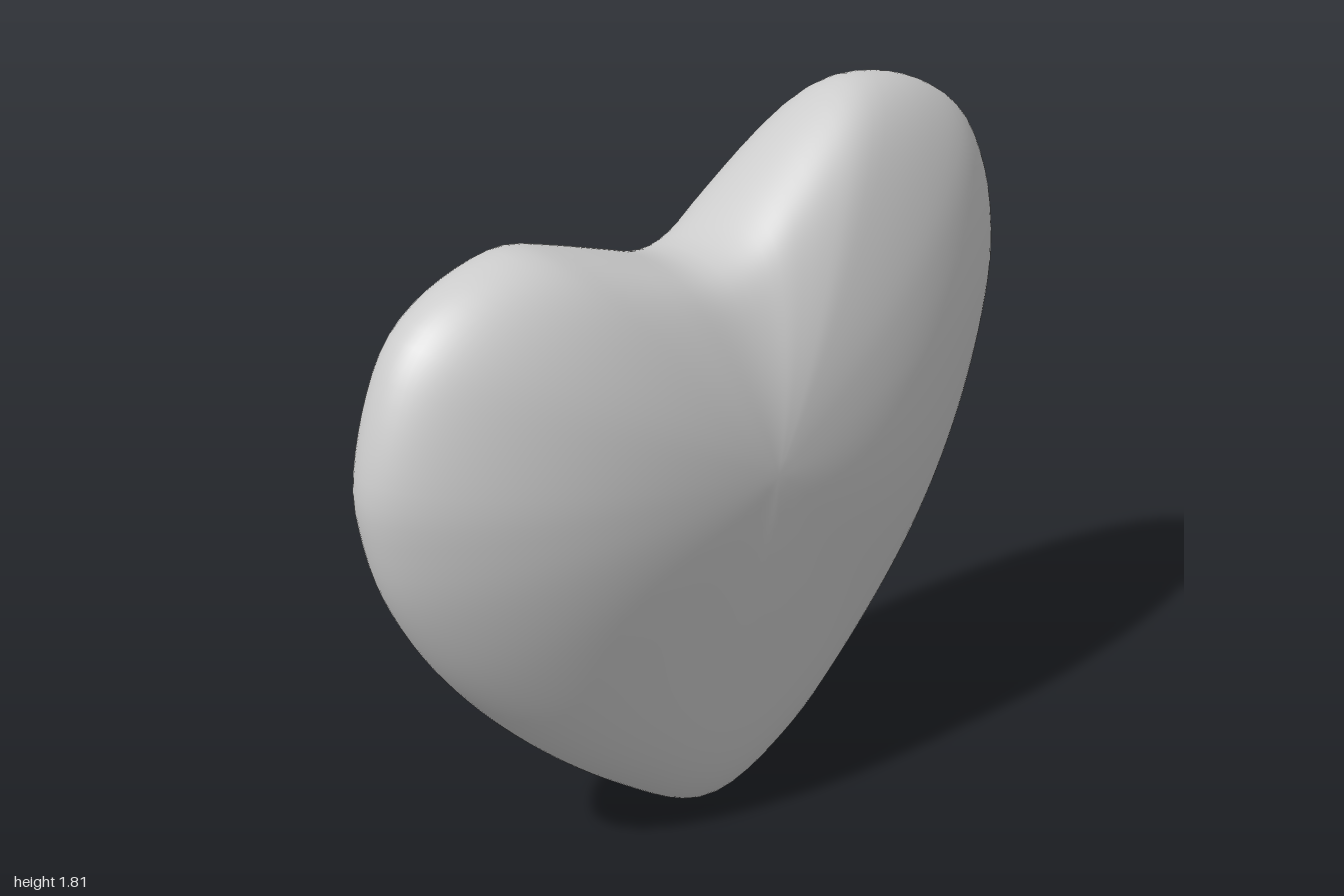
import * as THREE from 'three';
import { mergeVertices } from 'three/addons/utils/BufferGeometryUtils.js';

// Heart outline (x, y), counter-clockwise from the bottom tip
const OUTLINE = [
  [-0.03, 0.003], [0.07, 0.025], [0.25, 0.12], [0.4, 0.245], [0.6, 0.45], [0.75, 0.65],
  [0.87, 0.87], [0.95, 1.08], [0.99, 1.24], [1, 1.34], [0.98, 1.5], [0.92, 1.64],
  [0.86, 1.705], [0.76, 1.765], [0.65, 1.802], [0.53, 1.815], [0.46, 1.8], [0.35, 1.74],
  [0.2, 1.63], [0.06, 1.52], [-0.03, 1.485], [-0.11, 1.485], [-0.25, 1.525], [-0.4, 1.57],
  [-0.53, 1.6], [-0.63, 1.588], [-0.78, 1.53], [-0.88, 1.45], [-0.95, 1.32], [-1, 1.12],
  [-0.99, 1.0], [-0.95, 0.85], [-0.85, 0.66], [-0.7, 0.47], [-0.5, 0.28], [-0.3, 0.13], [-0.12, 0.022],
];
const CENTER = { x: -0.02, y: 1.0 };
const HALF_DEPTH = 0.327;

// The rim lies in a slightly tilted plane
const midPlane = (x, y) => 0.02 - 0.035 * x - 0.032 * y;

function heartGeometry() {
  const curve = new THREE.CatmullRomCurve3(
    OUTLINE.map(([x, y]) => new THREE.Vector3(x, y, 0)), true, 'centripetal');
  const geo = new THREE.SphereGeometry(1, 128, 64);
  const pos = geo.attributes.position, uv = geo.attributes.uv;

  // Each sphere meridian runs from the front centre over one outline point to the back centre
  for (let i = 0; i < pos.count; i++) {
    const p = curve.getPointAt(THREE.MathUtils.euclideanModulo(uv.getX(i), 1));
    const polar = Math.PI * (1 - uv.getY(i));
    const r = Math.sin(polar);
    const dx = p.x - CENTER.x, dy = p.y - CENTER.y;

    // Fuller toward the sides, leaner toward the tip and the lobe tops
    const upright = dy * dy / (dx * dx + dy * dy);
    const fullness = 1 + Math.sin(Math.PI * r ** 1.5) * (0.07 - 0.2 * upright);

    // The notch fades out toward the middle of the faces
    const notch = dy > 0 ? Math.exp(-(((p.x + 0.06) / 0.32) ** 2)) : 0;
    const reach = r + 0.55 * notch * r * (1 - r);

    const x = CENTER.x + dx * reach, y = CENTER.y + dy * reach;
    pos.setXYZ(i, x, y, midPlane(x, y) + HALF_DEPTH * Math.cos(polar) * fullness);
  }

  // Weld the seam and the poles so the shading is smooth
  geo.deleteAttribute('uv');
  geo.deleteAttribute('normal');
  const welded = mergeVertices(geo, 1e-5);
  welded.computeVertexNormals();
  return welded;
}

export function createModel() {
  const group = new THREE.Group();
  group.name = 'puffyHeart';
  const heart = new THREE.Mesh(
    heartGeometry(), new THREE.MeshStandardMaterial({ color: 0xcccccc }));
  heart.name = 'heartBody';
  group.add(heart);
  return group;
}
